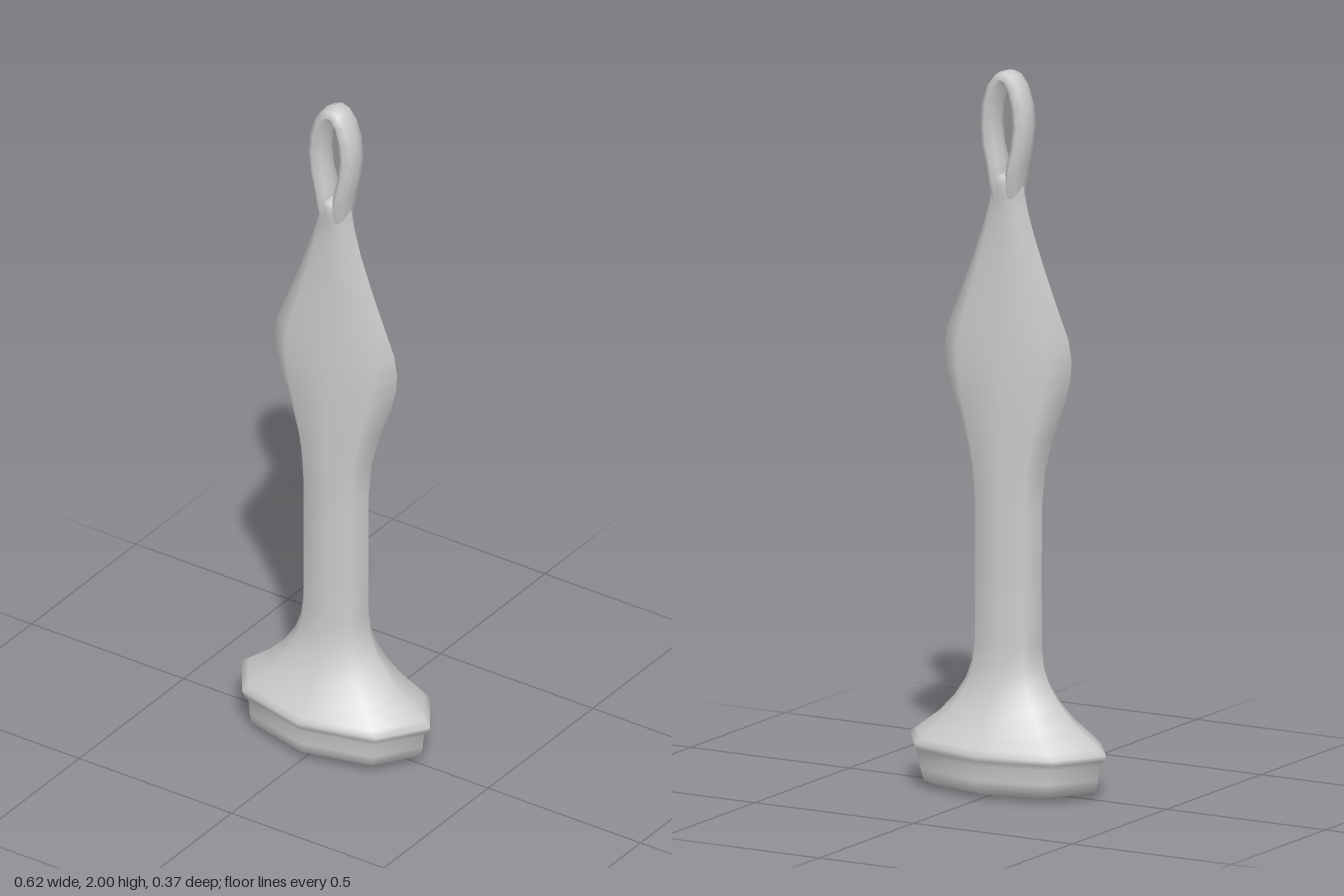
import * as THREE from 'three';

const SIDES = 8;

// Skin a list of rings (each SIDES points) with smooth normals.
function loft(rings) {
  const pos = [], index = [];
  rings.forEach((ring) => ring.forEach((p) => pos.push(p.x, p.y, p.z)));
  for (let j = 0; j < rings.length - 1; j++) {
    for (let i = 0; i < SIDES; i++) {
      const a = j * SIDES + i, b = j * SIDES + (i + 1) % SIDES;
      index.push(a, a + SIDES, b, b, a + SIDES, b + SIDES);
    }
  }
  const g = new THREE.BufferGeometry();
  g.setAttribute('position', new THREE.Float32BufferAttribute(pos, 3));
  g.setIndex(index);
  g.computeVertexNormals();
  return g;
}

// Ring around a centre: half-width u along direction n, half-depth w along z.
function makeRing(centre, n, u, w) {
  return Array.from({ length: SIDES }, (_, i) => {
    const a = (i / SIDES) * Math.PI * 2;
    return new THREE.Vector3(0, 0, w * Math.sin(a)).addScaledVector(n, u * Math.cos(a)).add(centre);
  });
}

export function createModel() {
  const group = new THREE.Group();
  const material = new THREE.MeshStandardMaterial({ color: 0xcccccc });
  const add = (name, geometry) => {
    const mesh = new THREE.Mesh(geometry, material);
    mesh.name = name;
    group.add(mesh);
  };

  // Foot, shaft and flattened blade: [height, half-width, half-depth]
  const stations = [
    [0.005, 0, 0], [0.01, 0.18, 0.1], [0.016, 0.24, 0.14], [0.03, 0.277, 0.165],
    [0.06, 0.285, 0.17], [0.1, 0.289, 0.17], [0.115, 0.303, 0.18], [0.13, 0.309, 0.185],
    [0.145, 0.288, 0.174], [0.17, 0.255, 0.155], [0.2, 0.215, 0.132], [0.25, 0.167, 0.102],
    [0.3, 0.133, 0.082], [0.35, 0.114, 0.07], [0.41, 0.107, 0.065], [0.6, 0.106, 0.064],
    [0.8, 0.107, 0.063], [0.9, 0.117, 0.062], [1.0, 0.145, 0.059], [1.1, 0.182, 0.054],
    [1.16, 0.197, 0.051], [1.21, 0.201, 0.048], [1.27, 0.191, 0.045], [1.35, 0.158, 0.041],
    [1.45, 0.118, 0.036], [1.55, 0.082, 0.033], [1.62, 0.061, 0.034], [1.66, 0.051, 0.039],
    [1.69, 0.046, 0.046], [1.712, 0.03, 0.04], [1.718, 0, 0],
  ];
  const xAxis = new THREE.Vector3(1, 0, 0);
  add('handleBody', loft(stations.map(([y, u, w]) => makeRing(new THREE.Vector3(0, y, 0), xAxis, u, w))));

  // Hanging loop: right half of the path, mirrored over the top.
  // [x, y, half-thickness, half-depth]
  const half = [
    [0.022, 1.65, 0.022, 0.034], [0.024, 1.69, 0.024, 0.046], [0.032, 1.74, 0.025, 0.046],
    [0.045, 1.79, 0.025, 0.044], [0.051, 1.85, 0.025, 0.043], [0.046, 1.905, 0.025, 0.043],
    [0.031, 1.953, 0.023, 0.043], [0.014, 1.977, 0.02, 0.043],
  ];
  const path = [...half, [0, 1.982, 0.018, 0.043],
    ...half.slice().reverse().map(([x, ...rest]) => [-x, ...rest])];
  add('hangingLoop', loft(path.map(([x, y, u, w], k) => {
    const a = path[Math.max(k - 1, 0)], b = path[Math.min(k + 1, path.length - 1)];
    const n = new THREE.Vector3(b[1] - a[1], a[0] - b[0], 0).normalize();
    return makeRing(new THREE.Vector3(x, y, 0), n, u, w);
  })));

  return group;
}
